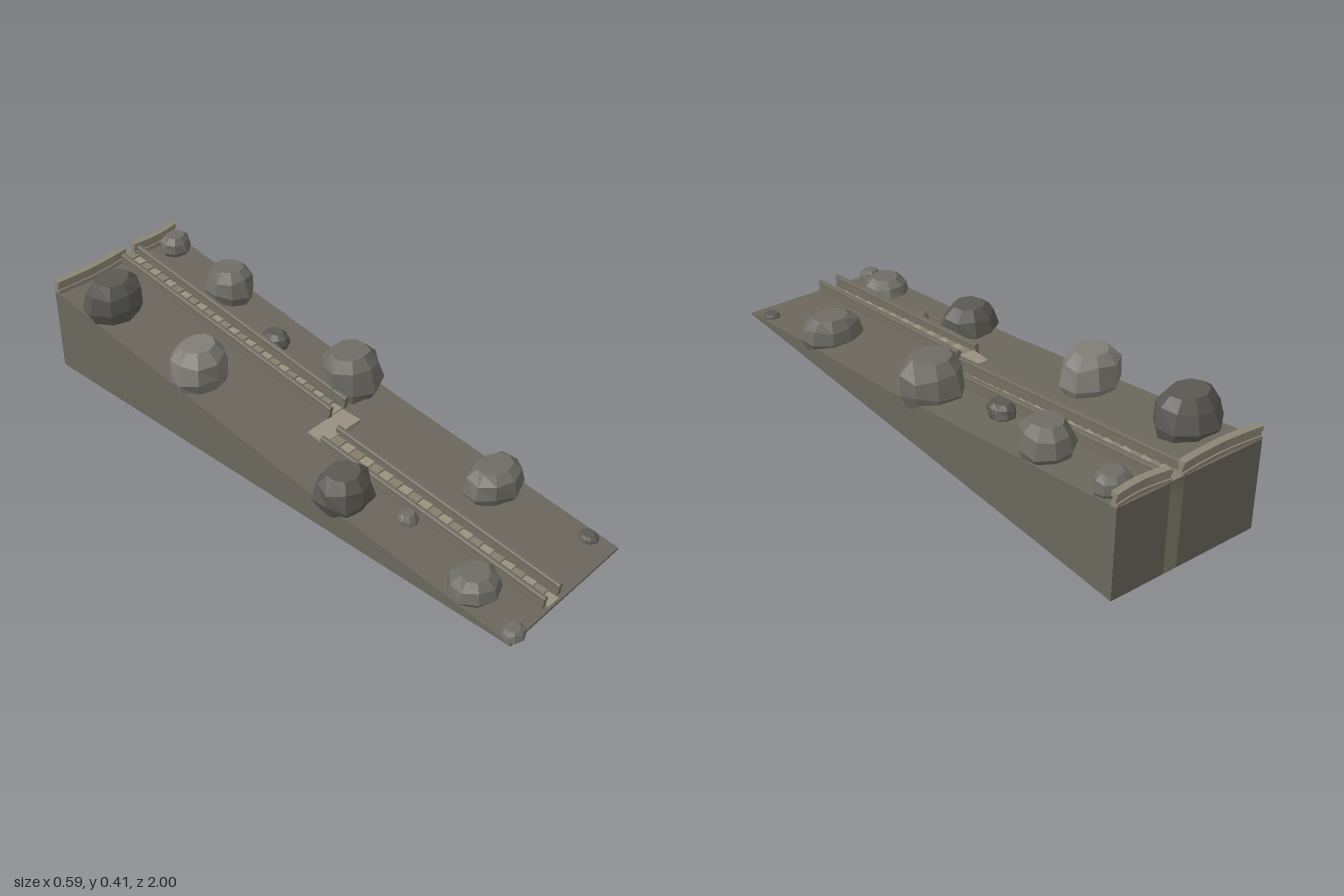
import * as THREE from 'three';

const paint = color => new THREE.MeshStandardMaterial({ color, flatShading: true });
const earth = paint(0x6b675d);
earth.side = THREE.DoubleSide;
const stepTones = [paint(0x99927f), paint(0x847e6d)];
const landingStone = paint(0x98917f);
const railStone = paint(0x6f6a5f);
const parapetStone = paint(0x8b8575);
const leaves = { dark: paint(0x595853), mid: paint(0x6e6c65), light: paint(0x7f7d76) };

// hillside profile as [z, y], front to back
const slope = [[0.98, 0.008], [0.1, 0.125], [0.02, 0.139], [-1, 0.312]];

function add(parent, name, geometry, material, x = 0, y = 0, z = 0) {
  const mesh = new THREE.Mesh(geometry, material);
  mesh.name = name;
  mesh.position.set(x, y, z);
  parent.add(mesh);
  return mesh;
}

function group(parent, name) {
  const g = new THREE.Group();
  g.name = name;
  parent.add(g);
  return g;
}

// wedge of ground, open underneath
function hillGeometry(w) {
  const pos = [], idx = [];
  const quad = (a, b, c, d) => idx.push(a, b, c, a, c, d);
  slope.forEach(([z, y], i) => {
    pos.push(-w, 0, z, -w, y, z, w, y, z, w, 0, z);
    const b = i * 4, a = b - 4;
    if (i) for (let j = 0; j < 3; j++) quad(a + j, a + j + 1, b + j + 1, b + j);
  });
  quad(0, 3, 2, 1);
  const e = (slope.length - 1) * 4;
  quad(e, e + 1, e + 2, e + 3);
  const g = new THREE.BufferGeometry();
  g.setAttribute('position', new THREE.Float32BufferAttribute(pos, 3));
  g.setIndex(idx);
  const out = g.toNonIndexed();
  out.computeVertexNormals();
  return out;
}

// steps are columns that reach the ground, in two alternating tones
function flight(parent, name, x, z0, z1, y0, y1, count) {
  const g = group(parent, name);
  const run = (z0 - z1) / count;
  for (let i = 0; i < count; i++) {
    const h = y0 + (y1 - y0) * (i + 1) / count;
    add(g, 'step', new THREE.BoxGeometry(0.05, h, run), stepTones[i % 2], x, h / 2, z0 - run * (i + 0.5));
  }
}

// solid sloped balustrade: rounded cap, narrow neck and flared foot
function railing(parent, x, z0, z1, y0, y1) {
  const half = [[0.009, -0.045], [0.008, -0.036], [0.005, -0.016], [0.009, -0.013], [0.009, -0.005], [0.005, 0]];
  const mirrored = half.map(([px, py]) => [-px, py]).reverse();
  const s = new THREE.Shape([...half, ...mirrored].map(p => new THREE.Vector2(...p)));
  const depth = Math.hypot(z0 - z1, y1 - y0);
  const geo = new THREE.ExtrudeGeometry(s, { depth, bevelEnabled: false });
  geo.translate(0, 0, -depth);
  add(parent, 'railing', geo, railStone, x, y0, z0).rotation.x = Math.atan2(y1 - y0, z0 - z1);
}

// parapet bowed gently towards the front, with a projecting cap
function parapet(parent, x0, x1) {
  const g = group(parent, 'parapet');
  const layer = (name, y, h, depth) => {
    const front = [], back = [], n = 8;
    for (let i = 0; i <= n; i++) {
      const k = i / n, x = x0 + (x1 - x0) * k;
      const z = -0.988 + 0.01 * Math.sin(Math.PI * k);
      front.push(new THREE.Vector2(x, -(z + depth / 2)));
      back.unshift(new THREE.Vector2(x, -(z - depth / 2)));
    }
    const geo = new THREE.ExtrudeGeometry(new THREE.Shape([...front, ...back]), { depth: h, bevelEnabled: false });
    geo.rotateX(-Math.PI / 2);
    add(g, name, geo, parapetStone, 0, y, 0);
  };
  layer('parapetBase', 0.3, 0.022, 0.024);
  layer('parapetWall', 0.32, 0.02, 0.014);
  layer('parapetCap', 0.34, 0.015, 0.024);
}

// faceted, flat-topped bush with slightly irregular rings
function bushGeometry(rx, rz, h, seed) {
  let s = seed * 7919 + 17;
  const rnd = () => (s = (s * 16807) % 2147483647) / 2147483647 - 0.5;
  const rings = [[0, 0], [0.82, 0], [1.01, 0.33], [0.9, 0.74], [0.58, 1], [0, 1]];
  const n = 9;
  const geo = new THREE.LatheGeometry(rings.map(p => new THREE.Vector2(...p)), n);
  const p = geo.attributes.position, m = rings.length;
  const jitter = Array.from({ length: n * m }, () => [rnd(), rnd()]);
  for (let i = 0; i < p.count; i++) {
    const ring = i % m, col = Math.floor(i / m) % n;
    const [a, b] = jitter[col * m + ring];
    const k = ring > 0 && ring < m - 1 ? 1 + a * 0.16 : 1;
    const dy = ring === 2 || ring === 3 ? b * 0.16 : 0;
    p.setXYZ(i, p.getX(i) * rx * k, (p.getY(i) + dy) * h, p.getZ(i) * rz * k);
  }
  geo.computeVertexNormals();
  return geo;
}

export function createModel() {
  const model = new THREE.Group();
  model.name = 'hillsideStairs';

  add(model, 'hill', hillGeometry(0.27), earth);

  // two offset flights joined by a landing
  flight(model, 'lowerStairs', -0.056, 0.975, 0.1, 0.008, 0.138, 22);
  flight(model, 'upperStairs', 0.053, 0.02, -1, 0.139, 0.315, 26);
  add(model, 'landing', new THREE.BoxGeometry(0.165, 0.141, 0.08), landingStone, -0.005, 0.0705, 0.06);

  for (const x of [-0.092, -0.019]) railing(model, x, 0.97, 0.09, 0.056, 0.167);
  for (const x of [0.017, 0.09]) railing(model, x, 0.03, -0.97, 0.186, 0.346);

  parapet(model, -0.27, 0.033);
  parapet(model, 0.074, 0.27);

  // bushes: x, z, x radius, z radius, bottom, top, tone
  const bushes = group(model, 'bushes');
  [
    [-0.175, -0.8, 0.112, 0.09, 0.265, 0.408, 'dark'],
    [-0.18, -0.375, 0.108, 0.09, 0.19, 0.343, 'light'],
    [-0.202, 0.28, 0.1, 0.09, 0.07, 0.2, 'dark'],
    [-0.187, 0.78, 0.084, 0.078, 0.015, 0.102, 'mid'],
    [-0.235, 0.96, 0.041, 0.037, 0, 0.04, 'mid'],
    [-0.125, 0.475, 0.038, 0.036, 0.05, 0.1, 'mid'],
    [0.213, -0.915, 0.06, 0.052, 0.29, 0.36, 'mid'],
    [0.197, -0.62, 0.085, 0.088, 0.235, 0.36, 'mid'],
    [0.135, -0.338, 0.04, 0.052, 0.195, 0.25, 'dark'],
    [0.187, -0.045, 0.114, 0.105, 0.125, 0.288, 'mid'],
    [0.182, 0.565, 0.113, 0.085, 0.043, 0.155, 'mid'],
    [0.235, 0.892, 0.034, 0.034, 0.008, 0.035, 'dark'],
  ].forEach(([x, z, rx, rz, y0, y1, tone], i) => {
    add(bushes, 'bush', bushGeometry(rx, rz, y1 - y0, i + 1), leaves[tone], x, y0, z);
  });

  return model;
}
